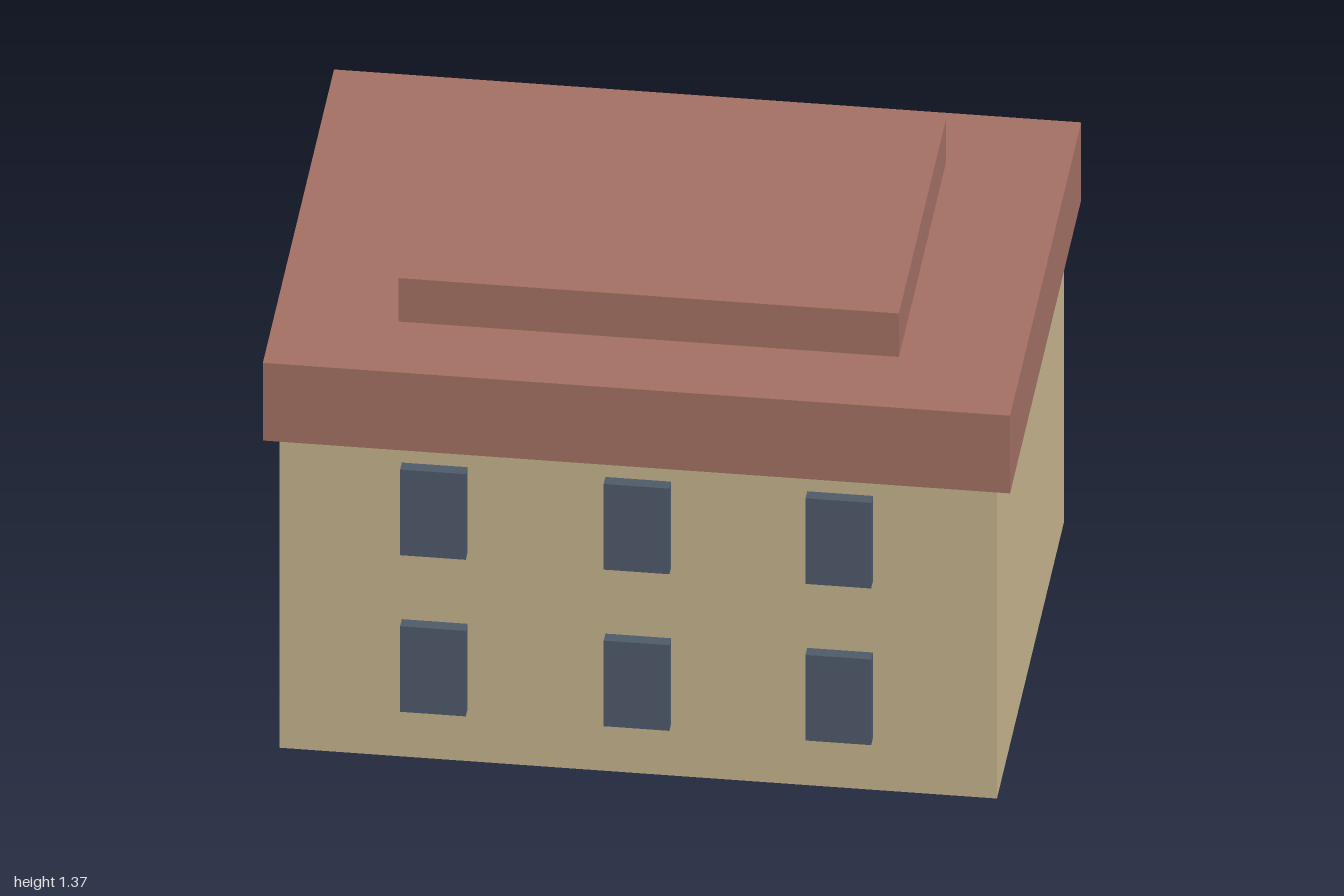
import * as THREE from 'three';

const material = (color) => new THREE.MeshStandardMaterial({ color });

export function createModel() {
  const house = new THREE.Group();
  house.name = 'house';
  const wall = material(0xc8b68f);
  const roof = material(0xa57164);
  const glass = material(0x4f5b6b);
  const wood = material(0x7a6452);

  // Box given by its extents along each axis
  const addBox = (name, mat, [x0, x1], [y0, y1], [z0, z1]) => {
    const mesh = new THREE.Mesh(new THREE.BoxGeometry(x1 - x0, y1 - y0, z1 - z0), mat);
    mesh.position.set((x0 + x1) / 2, (y0 + y1) / 2, (z0 + z1) / 2);
    mesh.name = name;
    house.add(mesh);
  };

  // Walls and stepped flat roof
  addBox('walls', wall, [-0.96, 0.96], [0, 0.99], [-0.675, 0.695]);
  addBox('roofSlab', roof, [-1, 1], [0.99, 1.235], [-0.72, 0.733]);
  addBox('roofTop', roof, [-0.67, 0.67], [1.235, 1.372], [-0.473, 0.485]);

  // Door at the middle of the back wall
  addBox('door', wood, [-0.097, 0.093], [0, 0.44], [-0.733, -0.665]);

  // Two rows of three windows on front and back; the door replaces one
  const rows = [[0.163, 0.433], [0.657, 0.927]];
  rows.forEach((y, row) => {
    for (const x of [-0.545, 0, 0.54]) {
      const span = [x - 0.088, x + 0.088];
      addBox('frontWindow', glass, span, y, [0.685, 0.73]);
      if (row === 1 || x !== 0) addBox('backWindow', glass, span, y, [-0.712, -0.665]);
    }
  });

  return house;
}
